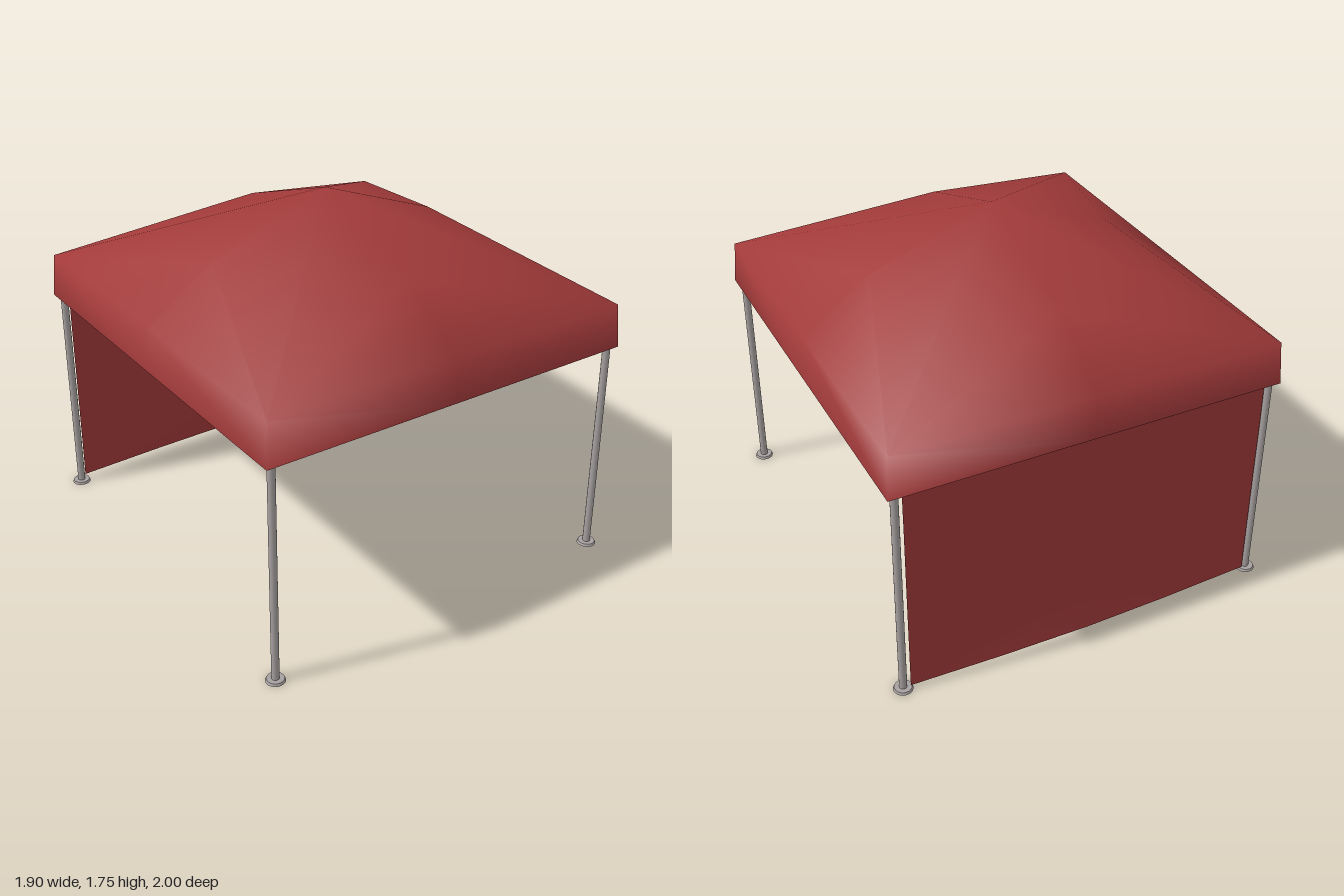
import * as THREE from 'three';

export function createModel() {
  const model = new THREE.Group();
  const fabric = new THREE.MeshStandardMaterial({ color: 0xa23a3a, side: THREE.DoubleSide });
  fabric.name = 'red fabric';
  const metal = new THREE.MeshStandardMaterial({ color: 0xa8a1a1 });
  metal.name = 'grey metal';

  function add(name, geometry, material, parent = model) {
    const mesh = new THREE.Mesh(geometry, material);
    mesh.name = name;
    parent.add(mesh);
    return mesh;
  }
  function surface(points, index) {
    const g = new THREE.BufferGeometry();
    g.setAttribute('position', new THREE.Float32BufferAttribute(points.flat(), 3));
    g.setIndex(index);
    g.computeVertexNormals();
    return g;
  }

  // Canopy: pyramid roof with a raised middle on each face, and a hanging skirt
  const ring = [[-1, 1], [0, 1], [1, 1], [1, 0], [1, -1], [0, -1], [-1, -1], [-1, 0]];
  const points = [[0, 1.745, 0]];
  ring.forEach(([x, z]) => points.push([x * 0.93, 1.29, z * 0.975]));
  ring.forEach(([x, z]) => points.push([x * 0.945, 1.08, z * 0.988]));
  ring.forEach(([x, z], i) => { if (i % 2) points.push([x * 0.6, 1.52, z * 0.635]); });
  const index = [];
  for (let k = 0; k < 4; k++) {
    const a = 1 + 2 * k, e = a + 1, b = 1 + (2 * k + 2) % 8, r = 17 + k;
    index.push(0, a, r, 0, r, b, a, e, r, e, b, r);
    for (const [p, q] of [[a, e], [e, b]]) index.push(p, p + 8, q + 8, p, q + 8, q);
  }
  add('canopy', surface(points, index), fabric);

  // Back wall: loosely hung cloth that billows outward on both halves
  const xs = [-0.875, -0.42, 0, 0.42, 0.875];
  const rows = [
    [0.02, [0.972, 0.99, 0.998, 0.99, 0.972]],
    [0.2, [0.97, 0.975, 0.982, 0.975, 0.97]],
    [0.64, [0.968, 0.999, 0.972, 0.999, 0.968]],
    [0.88, [0.968, 0.988, 0.97, 0.988, 0.968]],
    [1.12, [0.965, 0.967, 0.972, 0.967, 0.965]],
  ];
  const wallPoints = [], wallIndex = [];
  rows.forEach(([y, depth], j) => xs.forEach((x, i) => {
    wallPoints.push([x, y, -depth[i]]);
    if (i === 4 || j === 4) return;
    const a = j * 5 + i, b = a + 1, c = a + 5, d = a + 6;
    if ((i < 2) === (j < 2)) wallIndex.push(a, d, b, a, c, d);
    else wallIndex.push(a, c, b, b, c, d);
  }));
  add('backWall', surface(wallPoints, wallIndex), fabric);

  // Four legs with round feet
  const PX = 0.905, PZ = 0.955;
  for (const x of [-PX, PX]) for (const z of [-PZ, PZ]) {
    const leg = new THREE.Group();
    leg.name = 'leg';
    leg.position.set(x, 0, z);
    model.add(leg);
    add('post', new THREE.CylinderGeometry(0.018, 0.018, 1.28, 16), metal, leg).position.y = 0.64;
    add('foot', new THREE.CylinderGeometry(0.04, 0.045, 0.012, 24), metal, leg).position.y = 0.006;
  }

  // Folding frame of crossed bars
  const frame = new THREE.Group();
  frame.name = 'foldingFrame';
  model.add(frame);
  function bar(from, to) {
    const a = new THREE.Vector3(...from), b = new THREE.Vector3(...to);
    const mesh = add('bar', new THREE.BoxGeometry(0.018, 0.022, a.distanceTo(b)), metal, frame);
    mesh.position.copy(a).add(b).multiplyScalar(0.5);
    mesh.lookAt(b);
  }
  function cross(x0, z0, x1, z1, low = 1.12, high = 1.26) {
    bar([x0, 1.12, z0], [x1, high, z1]);
    bar([x0, 1.26, z0], [x1, low, z1]);
  }
  const FX = 0.89, FZ = 0.935;
  for (const s of [-1, 1]) {
    for (const t of [-1, 1]) {
      cross(s * FX, t * FZ, 0, t * FZ);
      cross(s * FX, t * FZ, s * FX, 0);
    }
    // Inner trusses run from the side middles to the hub
    cross(s * FX, 0, 0, 0, 1.16, 1.34);
    cross(0, s * FZ, 0, 0, 1.16, 1.34);
  }
  add('centrePole', new THREE.CylinderGeometry(0.018, 0.018, 0.58, 12), metal, frame).position.y = 1.43;

  return model;
}
